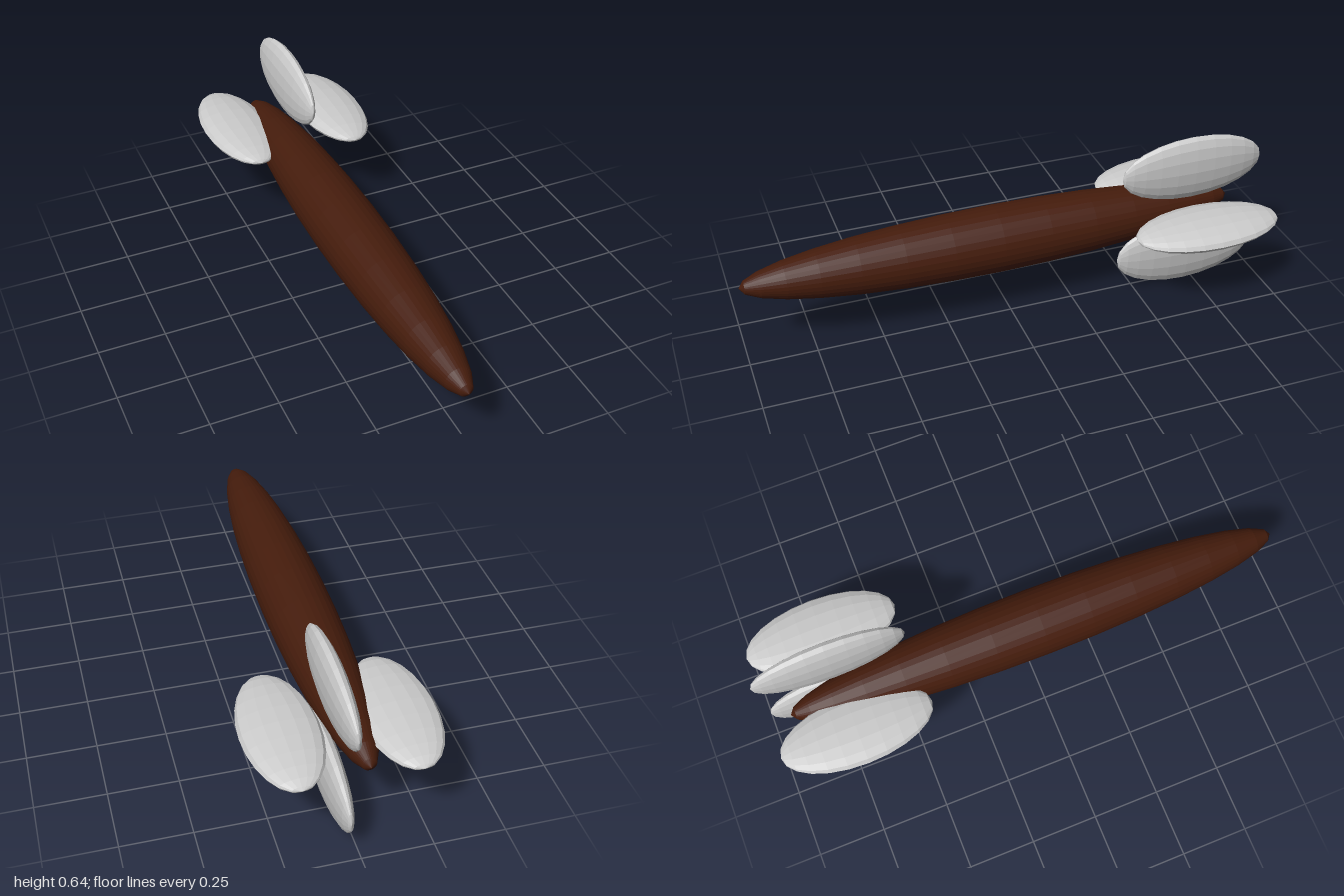
import * as THREE from 'three';

// Faceted ellipsoid with its poles along z
function ellipsoid(name, radii, position, material, sides, rings) {
  const geometry = new THREE.SphereGeometry(1, sides, rings);
  geometry.rotateX(Math.PI / 2);
  geometry.scale(...radii);
  const mesh = new THREE.Mesh(geometry, material);
  mesh.name = name;
  mesh.position.set(...position);
  return mesh;
}

export function createModel() {
  const model = new THREE.Group();
  model.name = 'finnedDart';

  const brown = new THREE.MeshStandardMaterial({ color: 0x451c0c, flatShading: true });
  const grey = new THREE.MeshStandardMaterial({ color: 0xcccccc, flatShading: true });

  // Long slender body
  model.add(ellipsoid('body', [0.127, 0.127, 0.955], [-0.05, 0.305, 0.043], brown, 32, 16));

  // Four flat oval tail fins in a cross, each leaning slightly the same way
  const fins = [
    { name: 'topFin', at: [0.025, 0.503, -0.715], angle: Math.PI / 2 },
    { name: 'bottomFin', at: [0.034, 0.15, -0.705], angle: -Math.PI / 2 },
    { name: 'leftFin', at: [0.197, 0.342, -0.707], angle: 0 },
    { name: 'rightFin', at: [-0.199, 0.341, -0.707], angle: Math.PI },
  ];
  for (const { name, at, angle } of fins) {
    const fin = ellipsoid(name, [0.134, 0.042, 0.285], at, grey, 16, 12);
    fin.rotation.z = angle - 0.06;
    model.add(fin);
  }
  // Bottom fin reaches a little further to meet the hub
  model.getObjectByName('bottomFin').scale.set(1.12, 1, 1);

  return model;
}
